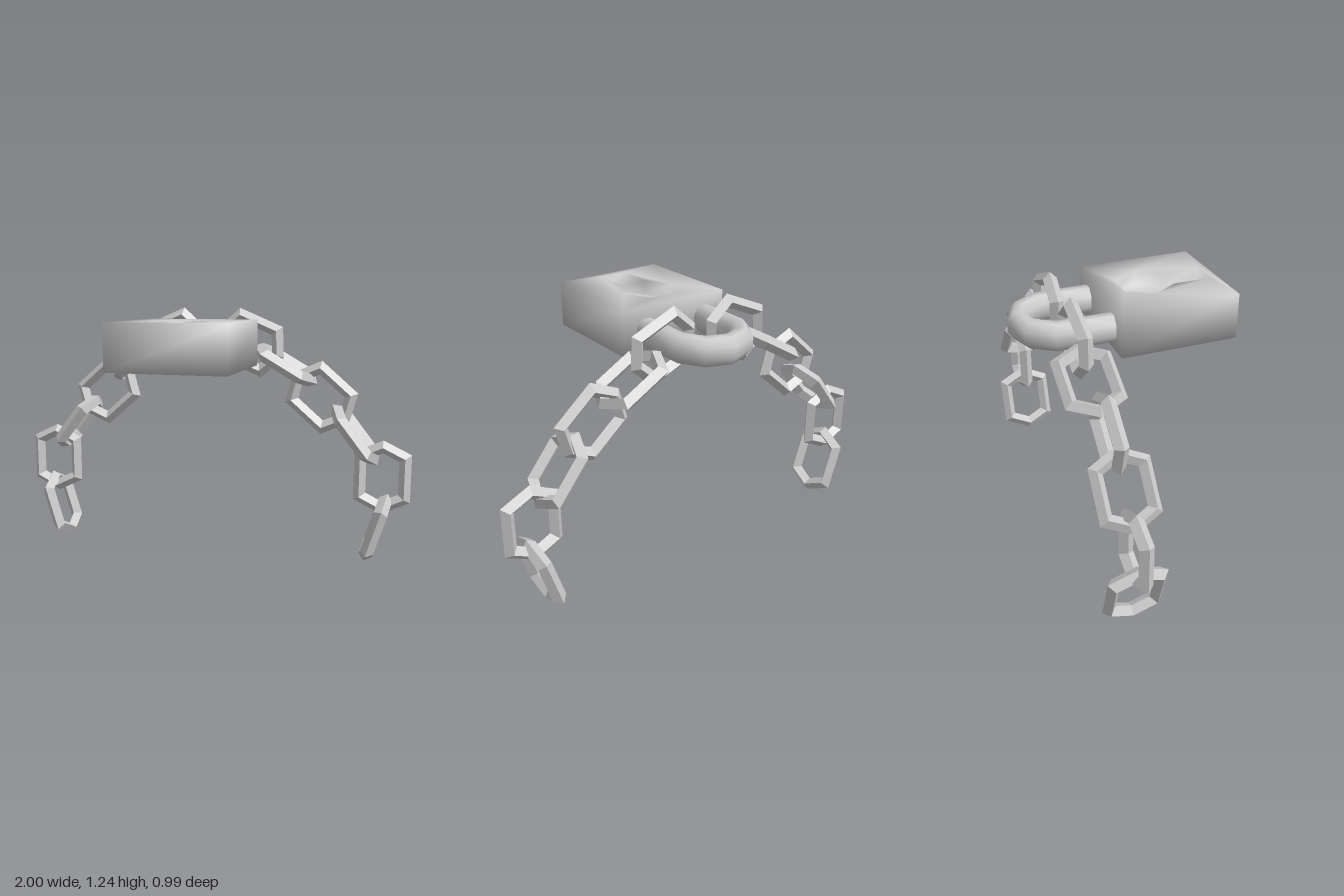
import * as THREE from 'three';
import { mergeGeometries, mergeVertices } from 'three/addons/utils/BufferGeometryUtils.js';

const material = new THREE.MeshStandardMaterial({ color: 0xcccccc });
const flatMaterial = new THREE.MeshStandardMaterial({ color: 0xcccccc, flatShading: true });

// Skin a row of closed cross-sections; wrap joins the last one to the first.
function loft(loops, wrap) {
  const n = loops[0].length, rows = loops.length, index = [];
  for (let i = 0; i < (wrap ? rows : rows - 1); i++) {
    for (let j = 0; j < n; j++) {
      const a = i * n + j, b = i * n + (j + 1) % n;
      const k = ((i + 1) % rows) * n, c = k + (j + 1) % n, d = k + j;
      index.push(a, b, c, a, c, d);
    }
  }
  const g = new THREE.BufferGeometry();
  g.setAttribute('position', new THREE.Float32BufferAttribute(loops.flat(2), 3));
  g.setIndex(index);
  g.computeVertexNormals();
  return g;
}

// Elongated six-sided ring with a diamond section, long axis along y.
function linkGeometry() {
  const t = 0.029, depth = 0.033;
  const corners = [[1, -1], [1, 1], [0, 1], [-1, 1], [-1, -1], [0, -1]];
  return loft(corners.map(([sx, sy]) => {
    const at = (inset, z) => [
      sx * (0.136 - inset),
      sy * (sx ? 0.118 - 0.636 * inset : 0.183 - 1.1 * inset),
      z,
    ];
    return [at(0, 0), at(t, -depth), at(2 * t, 0), at(t, depth)];
  }), true);
}

// Padlock body with a keyhole recess in its upper face.
function bodyGeometry() {
  const bottom = 0.985, top = 1.2, floor = 1.13;
  const rect = [[-0.275, 0.49], [0.275, 0.49], [0.275, -0.065], [-0.275, -0.065]];
  const half = [[0.067, 0.455], [0.067, 0.27], [0.137, 0.155], [0.067, 0.03]];
  const key = [...half, ...half.map(([x, z]) => [-x, z]).reverse()];

  const ring = (pts, y) => pts.map(([x, z]) => [x, y, z]);
  const points = (pts, s) => pts.map(([x, z]) => new THREE.Vector2(x, s * z));
  const cap = (pts, y, hole, up = true) => {
    const s = up ? -1 : 1;
    const shape = new THREE.Shape(points(pts, s));
    if (hole) shape.holes.push(new THREE.Path(points(hole, s)));
    return new THREE.ShapeGeometry(shape).rotateX(s * Math.PI / 2).translate(0, y, 0);
  };

  const pieces = [
    cap(rect, top, key),
    cap(key, floor),
    cap(rect, bottom, null, false),
    loft([ring(rect, bottom), ring(rect, top)]),
    loft([ring(key, top), ring(key, floor)]),
  ];
  pieces.forEach((g) => { g.deleteAttribute('normal'); g.deleteAttribute('uv'); });
  const body = mergeVertices(mergeGeometries(pieces), 1e-4);
  body.computeVertexNormals();
  return body;
}

// U-shaped bar with an eight-sided section, lying in the horizontal plane.
function shackleGeometry() {
  const side = [[0.16, -0.03], [0.16, -0.19], [0.158, -0.32], [0.098, -0.412]];
  const path = [...side, [0, -0.446], ...side.map(([x, z]) => [-x, z]).reverse()];
  return loft(path.map(([x, z], i) => {
    const p = path[Math.max(i - 1, 0)], q = path[Math.min(i + 1, path.length - 1)];
    const out = new THREE.Vector2(p[1] - q[1], q[0] - p[0]).normalize();
    return Array.from({ length: 8 }, (_, j) => {
      const a = -(j + 0.5) * Math.PI / 4, w = 0.054 * Math.cos(a);
      return [x + out.x * w, 1.085 + 0.068 * Math.sin(a), z + out.y * w];
    });
  }));
}

export function createModel() {
  const model = new THREE.Group();
  model.name = 'padlockAndChain';
  const add = (name, geometry, mat, parent = model) => {
    const mesh = new THREE.Mesh(geometry, mat);
    mesh.name = name;
    parent.add(mesh);
    return mesh;
  };

  add('lockBody', bodyGeometry(), material);
  add('shackle', shackleGeometry(), material);

  // Chain: distance out, height, z, tilt in degrees; every second link is turned on edge.
  const links = [
    [0.2, 1.08, -0.25, 23],
    [0.378, 0.975, -0.255, 30],
    [0.56, 0.82, -0.235, 41],
    [0.73, 0.645, -0.228, 52],
    [0.866, 0.44, -0.235, 90],
    [0.843, 0.188, -0.226, 107],
  ];
  const ring = linkGeometry();
  for (const [name, side] of [['rightChain', -1], ['leftChain', 1]]) {
    const chain = new THREE.Group();
    chain.name = name;
    model.add(chain);
    links.forEach(([x, y, z, tilt], i) => {
      const link = add(`chainLink${i + 1}`, ring, flatMaterial, chain);
      link.position.set(side * x, y, z);
      link.rotation.order = 'ZYX';
      link.rotation.y = i % 2 ? Math.PI / 2 : 0;
      link.rotation.z = side * THREE.MathUtils.degToRad(90 - tilt);
    });
  }
  return model;
}
